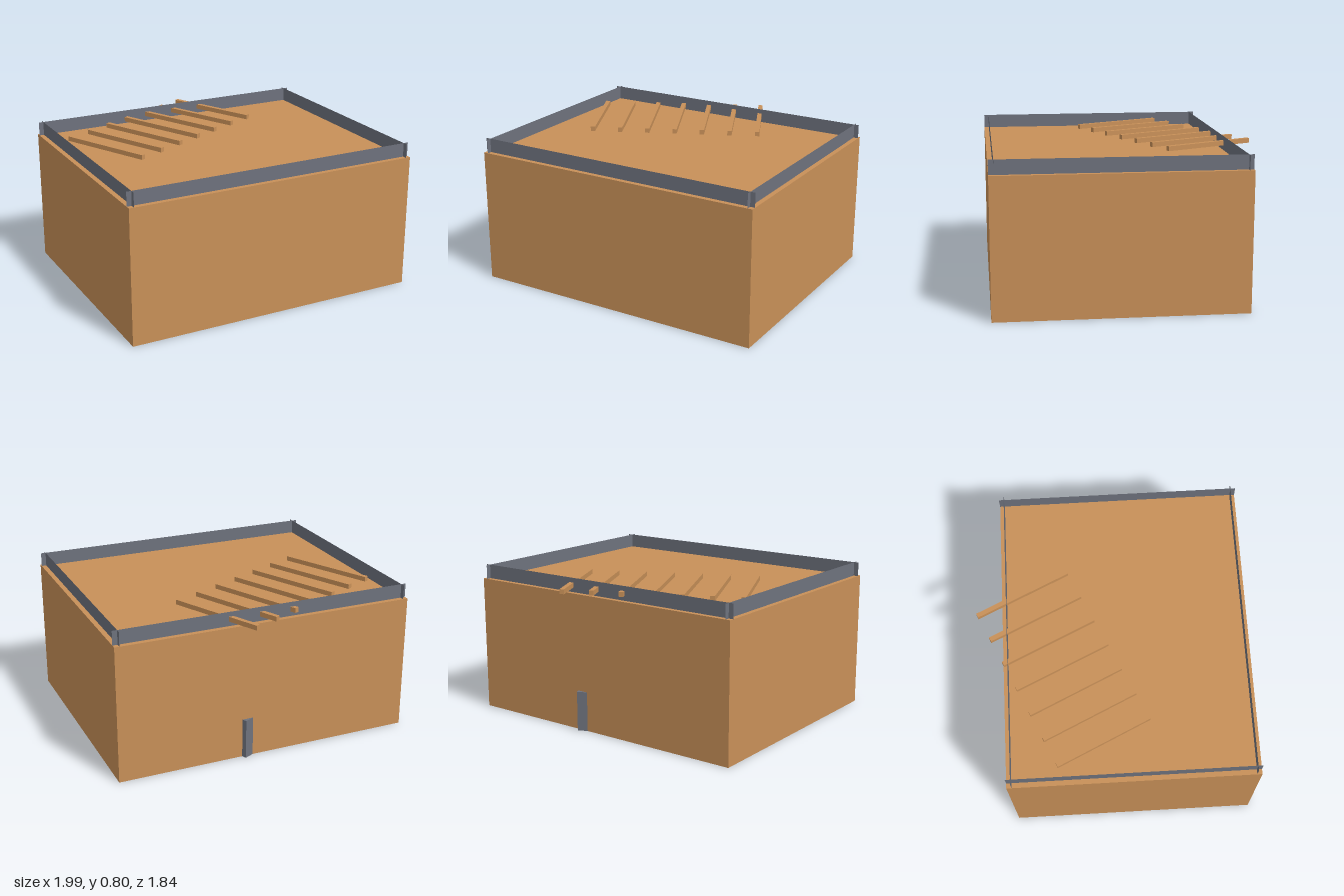
import * as THREE from 'three';

export function createModel() {
  const clay = new THREE.MeshStandardMaterial({ color: 0xc89058, side: THREE.DoubleSide });
  clay.name = 'clay';
  const slate = new THREE.MeshStandardMaterial({ color: 0x6e727d, side: THREE.DoubleSide });
  slate.name = 'slate';

  const model = new THREE.Group();
  model.name = 'flatRoofedHouse';
  const W = 1.6, D = 1.284, H = 0.721;

  function add(parent, name, geometry, material, x, y, z) {
    const mesh = new THREE.Mesh(geometry, material);
    mesh.name = name;
    mesh.position.set(x, y, z);
    parent.add(mesh);
    return mesh;
  }

  // House shell, turned on its plot and open underneath
  const house = new THREE.Group();
  house.name = 'house';
  house.rotation.y = -0.438;
  model.add(house);

  add(house, 'roof', new THREE.PlaneGeometry(W, D).rotateX(-Math.PI / 2), clay, 0, H, 0);

  // Four walls, each with a thin parapet sheet set in and sunk through the roof
  const inset = 0.026, parapetHeight = 0.149;
  ['front', 'left', 'back', 'right'].forEach((side, i) => {
    const length = i % 2 ? D : W;
    const reach = (i % 2 ? W : D) / 2;
    const face = new THREE.Group();
    face.name = side + 'Side';
    face.rotation.y = i * Math.PI / 2;
    house.add(face);
    add(face, side + 'Wall', new THREE.PlaneGeometry(length, H), clay, 0, H / 2, reach);
    add(face, side + 'Parapet', new THREE.PlaneGeometry(length, parapetHeight), slate,
      0, H, reach - inset);
  });

  // Row of roof beams running front to back
  for (let i = 0; i < 7; i++) {
    add(model, 'roofBeam', new THREE.BoxGeometry(0.024, 0.025, 0.528), clay,
      -0.476 + i * 0.1516, 0.758, -0.383);
  }

  // Low block at ground level, its corner showing through the back wall
  add(model, 'groundBlock', new THREE.BoxGeometry(0.798, 0.21, 0.143), slate, -0.003, 0.105, -0.477);

  return model;
}
